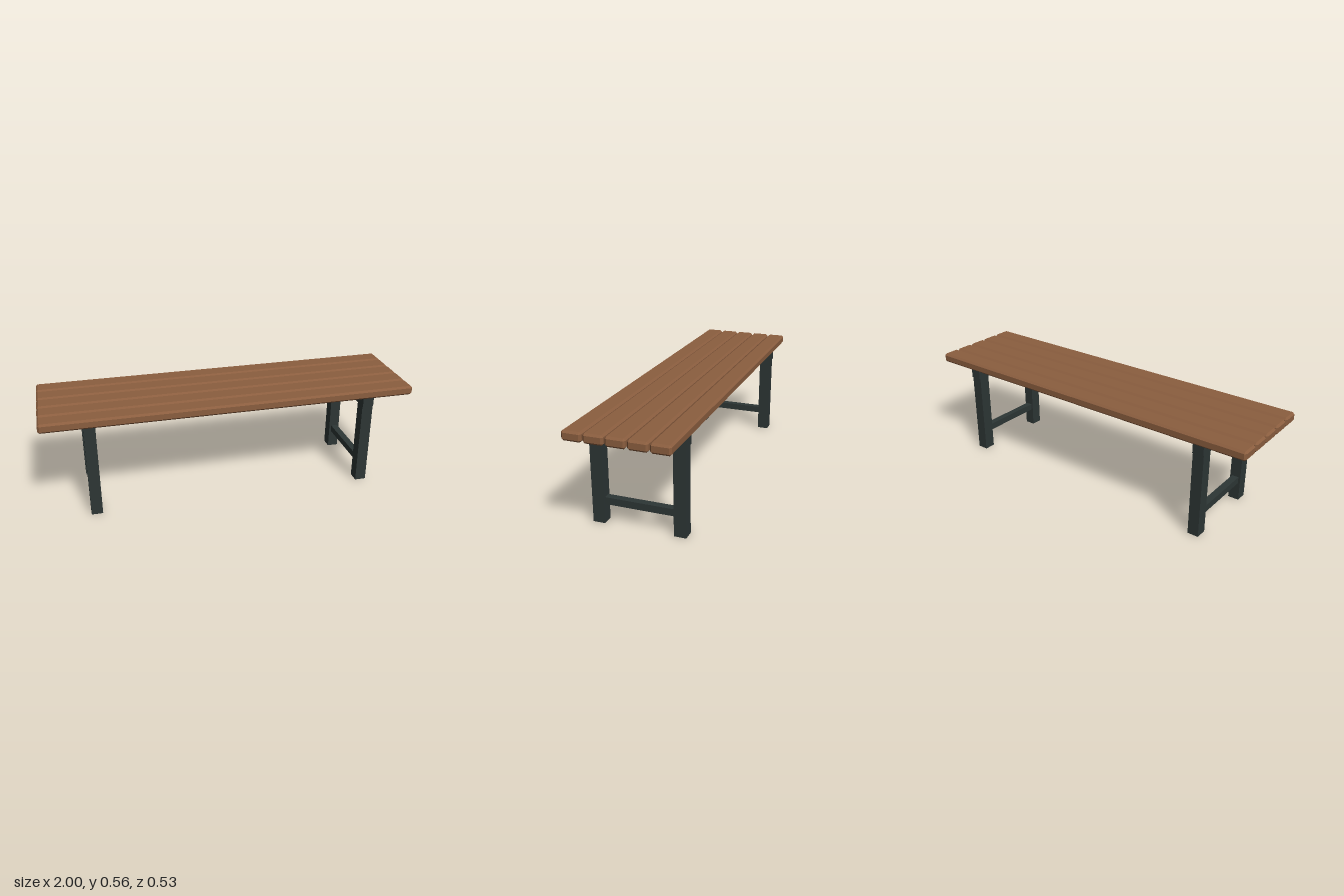
import * as THREE from 'three';
import { ConvexGeometry } from 'three/addons/geometries/ConvexGeometry.js';

const wood = new THREE.MeshStandardMaterial({ name: 'brown wood', color: 0x8b5e3f });
const metal = new THREE.MeshStandardMaterial({ name: 'dark metal', color: 0x2d3635 });

// Box with every edge cut flat: each corner becomes three points
function chamferedBox(w, h, d, c) {
  const points = [];
  for (const sx of [-1, 1]) for (const sy of [-1, 1]) for (const sz of [-1, 1]) {
    const x = w / 2, y = h / 2, z = d / 2;
    points.push(
      new THREE.Vector3(sx * x, sy * (y - c), sz * (z - c)),
      new THREE.Vector3(sx * (x - c), sy * y, sz * (z - c)),
      new THREE.Vector3(sx * (x - c), sy * (y - c), sz * z),
    );
  }
  return new ConvexGeometry(points);
}

function addPart(parent, name, geometry, material, x, y, z) {
  const mesh = new THREE.Mesh(geometry, material);
  mesh.name = name;
  mesh.position.set(x, y, z);
  parent.add(mesh);
}

export function createModel() {
  const bench = new THREE.Group();
  bench.name = 'bench';

  // Five seat slats with narrow gaps
  const slat = chamferedBox(2, 0.05, 0.1, 0.01);
  for (let i = -2; i <= 2; i++) addPart(bench, `seatSlat${i + 3}`, slat, wood, 0, 0.538, i * 0.1065);

  // Two leg frames: posts, top beam and low stretcher
  const leg = new THREE.BoxGeometry(0.06, 0.463, 0.063);
  const beam = new THREE.BoxGeometry(0.06, 0.05, 0.5);
  const stretcher = new THREE.BoxGeometry(0.0375, 0.0375, 0.363);
  for (const side of [1, -1]) {
    const frame = new THREE.Group();
    frame.name = side > 0 ? 'leftLegFrame' : 'rightLegFrame';
    frame.position.x = side * 0.75;
    addPart(frame, 'frontLeg', leg, metal, 0, 0.2315, 0.213);
    addPart(frame, 'backLeg', leg, metal, 0, 0.2315, -0.213);
    addPart(frame, 'topBeam', beam, metal, 0, 0.488, 0);
    addPart(frame, 'stretcher', stretcher, metal, 0, 0.119, 0);
    bench.add(frame);
  }
  return bench;
}
